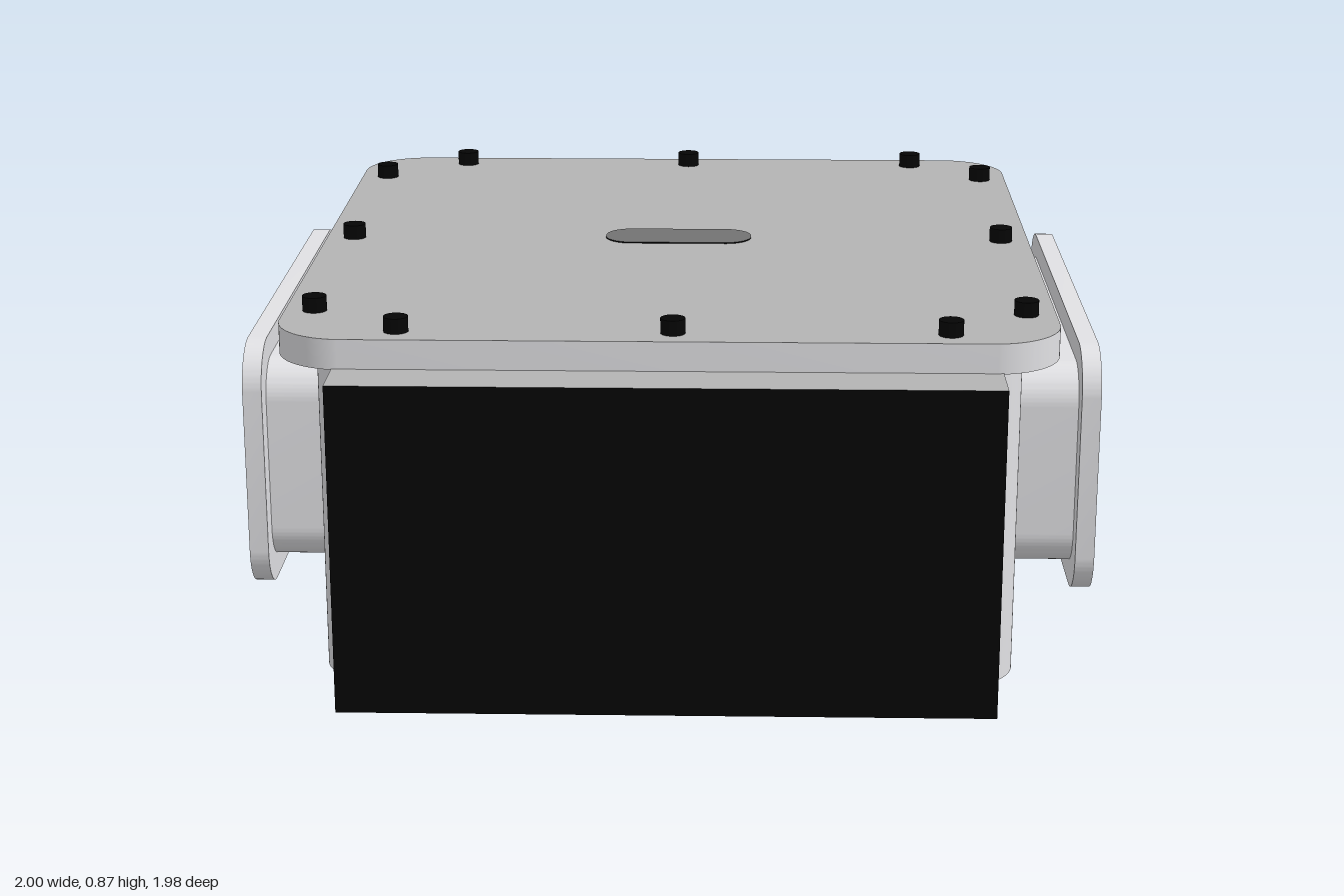
import * as THREE from 'three';
import { toCreasedNormals } from 'three/addons/utils/BufferGeometryUtils.js';

const paint = (name, color) => {
  const m = new THREE.MeshStandardMaterial({ color });
  m.name = name;
  return m;
};

// Rounded rectangle centred on the origin
function roundedRect(w, h, r) {
  const s = new THREE.Shape();
  const x = w / 2, y = h / 2;
  s.moveTo(-x + r, -y);
  s.lineTo(x - r, -y);
  s.absarc(x - r, -y + r, r, -Math.PI / 2, 0);
  s.lineTo(x, y - r);
  s.absarc(x - r, y - r, r, 0, Math.PI / 2);
  s.lineTo(-x + r, y);
  s.absarc(-x + r, y - r, r, Math.PI / 2, Math.PI);
  s.lineTo(-x, -y + r);
  s.absarc(-x + r, -y + r, r, Math.PI, Math.PI * 1.5);
  return s;
}

// Extruded plate facing +z; material groups: 0 = back cap and rim, 1 = front cap
function slab(w, h, r, depth) {
  const g = toCreasedNormals(
    new THREE.ExtrudeGeometry(roundedRect(w, h, r), { depth, bevelEnabled: false, curveSegments: 14 }), 0.6);
  const caps = g.groups[0].count, total = g.attributes.position.count;
  g.clearGroups();
  g.addGroup(0, caps / 2, 0);
  g.addGroup(caps / 2, caps / 2, 1);
  g.addGroup(caps, total - caps, 0);
  return g;
}

export function createModel() {
  const model = new THREE.Group();
  model.name = 'junctionBox';
  const light = paint('lightGrey', 0xe1e1e4);
  const grey = paint('midGrey', 0xb4b4b4);
  const dark = paint('darkGrey', 0x737373);
  const black = paint('black', 0x050505);

  const add = (name, geometry, material, x, y, z) => {
    const mesh = new THREE.Mesh(geometry, material);
    mesh.name = name;
    mesh.position.set(x, y, z);
    model.add(mesh);
  };
  const flat = (...size) => slab(...size).rotateX(-Math.PI / 2);
  const sideways = (side, ...size) => slab(...size).rotateY(side * Math.PI / 2);

  // Housing and lid, with a darker top
  add('housing', flat(1.6, 1.735, 0.13, 0.768), [light, grey], 0, 0, -0.0625);
  add('lid', flat(1.76, 1.85, 0.16, 0.07), [light, grey], 0, 0.766, -0.064);

  // Front block with a black face
  add('frontBlock', new THREE.BoxGeometry(1.485, 0.768, 0.29),
    [light, light, grey, light, black, light], 0, 0.384, 0.843);

  // Side necks and flanges, with darker outer faces
  for (const [side, label] of [[1, 'left'], [-1, 'right']]) {
    add(label + 'Neck', sideways(side, 1.14, 0.495, 0.09, 0.18), light, side * 0.78, 0.4175, -0.076);
    add(label + 'Flange', sideways(side, 1.255, 0.605, 0.11, 0.045), [light, grey], side * 0.955, 0.4175, -0.076);
  }

  // Slot plate on the lid
  add('slotPlate', flat(0.365, 0.14, 0.065, 0.003), [black, dark], 0.004, 0.836, -0.088);

  // Lid bolts
  const bolt = new THREE.CylinderGeometry(0.028, 0.028, 0.042, 24);
  const spots = [];
  for (const z of [-0.75, -0.065, 0.621]) spots.push([-0.811, z], [0.811, z]);
  for (const x of [-0.605, 0.012, 0.629]) spots.push([x, -0.917], [x, 0.79]);
  for (const [x, z] of spots) add('bolt', bolt, black, x, 0.85, z);

  return model;
}
